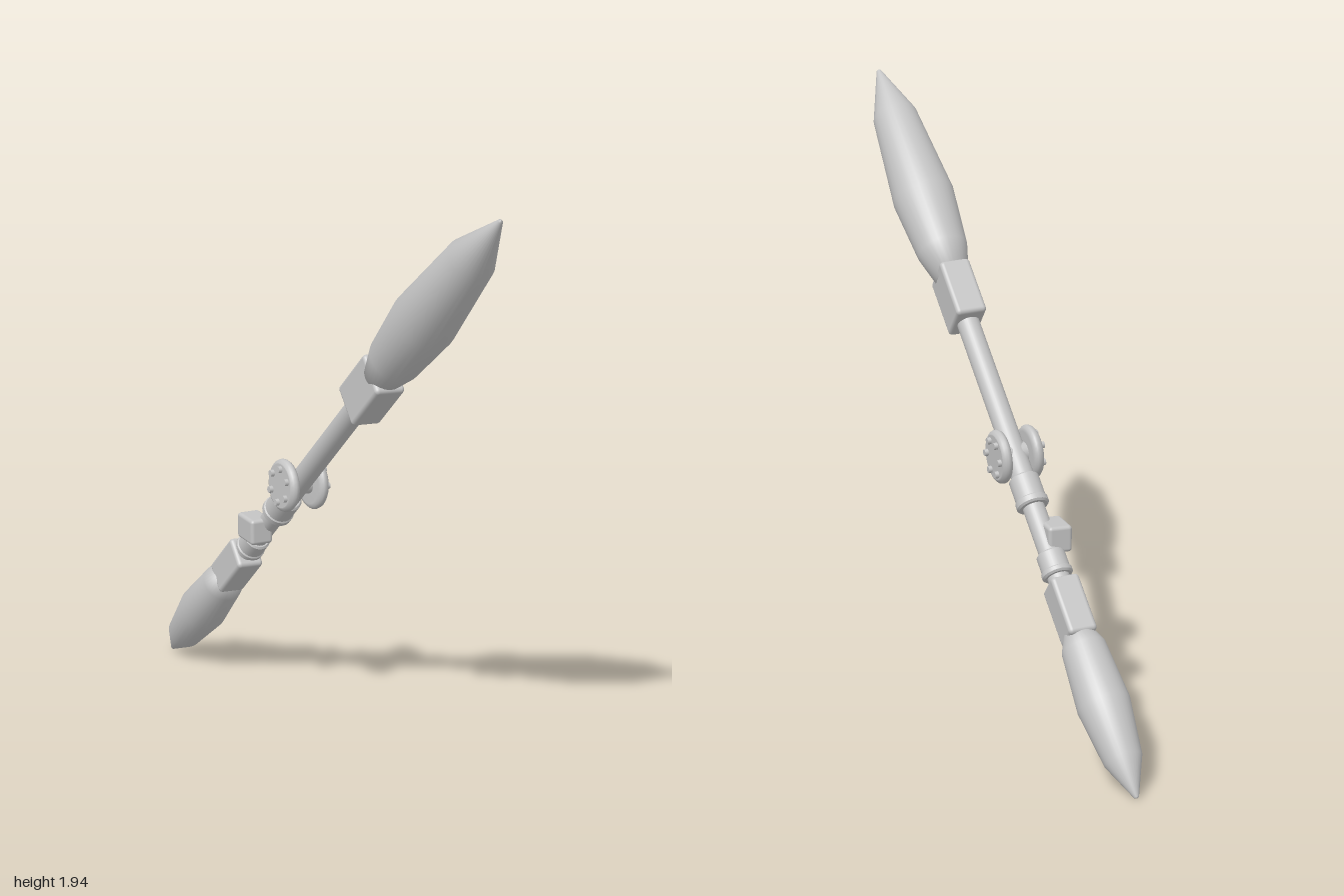
import * as THREE from 'three';
import { RoundedBoxGeometry } from 'three/addons/geometries/RoundedBoxGeometry.js';

export function createModel() {
  const model = new THREE.Group();
  model.name = 'doubleBladedStaff';
  const grey = new THREE.MeshStandardMaterial({ color: 0xc4c4c4 });
  grey.name = 'plain grey';

  // The whole staff is built along its own +y, then tilted between its two tips
  const staff = new THREE.Group();
  staff.name = 'staff';
  const low = new THREE.Vector3(-0.11, 0.0, -1.0);
  const axis = new THREE.Vector3(0.1, 1.94, 1.0).sub(low).normalize();
  const side = new THREE.Vector3(1, 0, 0).addScaledVector(axis, -axis.x).normalize();
  const face = new THREE.Vector3().crossVectors(side, axis);
  staff.quaternion.setFromRotationMatrix(new THREE.Matrix4().makeBasis(side, axis, face));
  staff.position.copy(low);
  model.add(staff);

  const add = (name, geometry, parent = staff) => {
    const mesh = new THREE.Mesh(geometry, grey);
    mesh.name = name;
    parent.add(mesh);
    return mesh;
  };
  const turned = (name, points, parent) =>
    add(name, new THREE.LatheGeometry(points.map(([r, y]) => new THREE.Vector2(r, y)), 32), parent);
  const block = (name, w, from, to, d) => {
    add(name, new RoundedBoxGeometry(w, to - from, d, 3, 0.014)).position.y = (from + to) / 2;
  };
  // Turned sleeve with a small bevel at both ends
  const sleeve = (name, r, from, to) => turned(name, [
    [0, from], [r - 0.006, from], [r - 0.006, from], [r, from + 0.006], [r, from + 0.006],
    [r, to - 0.006], [r, to - 0.006], [r - 0.006, to], [r - 0.006, to], [0, to]]);

  // Blades
  turned('lowerBlade', [[0, 0], [0.008, 0.004], [0.062, 0.13], [0.086, 0.32],
    [0.072, 0.52], [0.045, 0.58], [0, 0.58]]);
  turned('upperBlade', [[0, 1.92], [0.058, 1.92], [0.087, 2.03], [0.106, 2.25],
    [0.077, 2.59], [0.008, 2.788], [0, 2.793]]);

  // Blade sockets
  block('lowerSocket', 0.096, 0.553, 0.755, 0.114);
  block('upperSocket', 0.106, 1.738, 1.948, 0.146);

  // Shaft and its sleeves
  sleeve('upperShaft', 0.038, 1.04, 1.76);
  sleeve('lowerShaft', 0.036, 0.74, 1.06);
  sleeve('lowerSleeve', 0.047, 0.775, 0.86);
  sleeve('sleeveRing', 0.051, 0.775, 0.8);
  sleeve('pivotSleeve', 0.05, 1.03, 1.14);
  sleeve('pivotRing', 0.054, 1.03, 1.06);

  // Pivot: an axle with a bolted disc on each side
  const pivot = new THREE.Group();
  pivot.name = 'pivot';
  pivot.position.y = 1.23;
  staff.add(pivot);
  add('axle', new THREE.CylinderGeometry(0.035, 0.035, 0.1, 24), pivot).rotation.z = Math.PI / 2;
  for (const s of [1, -1]) {
    const disc = new THREE.Group();
    disc.name = s > 0 ? 'leftDisc' : 'rightDisc';
    disc.rotation.z = -s * Math.PI / 2;
    pivot.add(disc);
    turned('rim', [[0, 0.036], [0.07, 0.036], [0.082, 0.04], [0.088, 0.048], [0.089, 0.055],
      [0.086, 0.064], [0.078, 0.071], [0.074, 0.072], [0.074, 0.072], [0, 0.072]], disc);
    for (let i = 0; i < 6; i++) {
      const a = (i + 0.3) * Math.PI / 3;
      add('bolt', new THREE.CylinderGeometry(0.011, 0.012, 0.016, 12), disc)
        .position.set(0.057 * Math.cos(a), 0.076, 0.057 * Math.sin(a));
    }
  }

  // Small box on the right side of the shaft, level with the ground
  add('sideBox', new RoundedBoxGeometry(0.08, 0.088, 0.12, 3, 0.012), model)
    .position.set(-0.075, 0.645, -0.345);

  return model;
}
